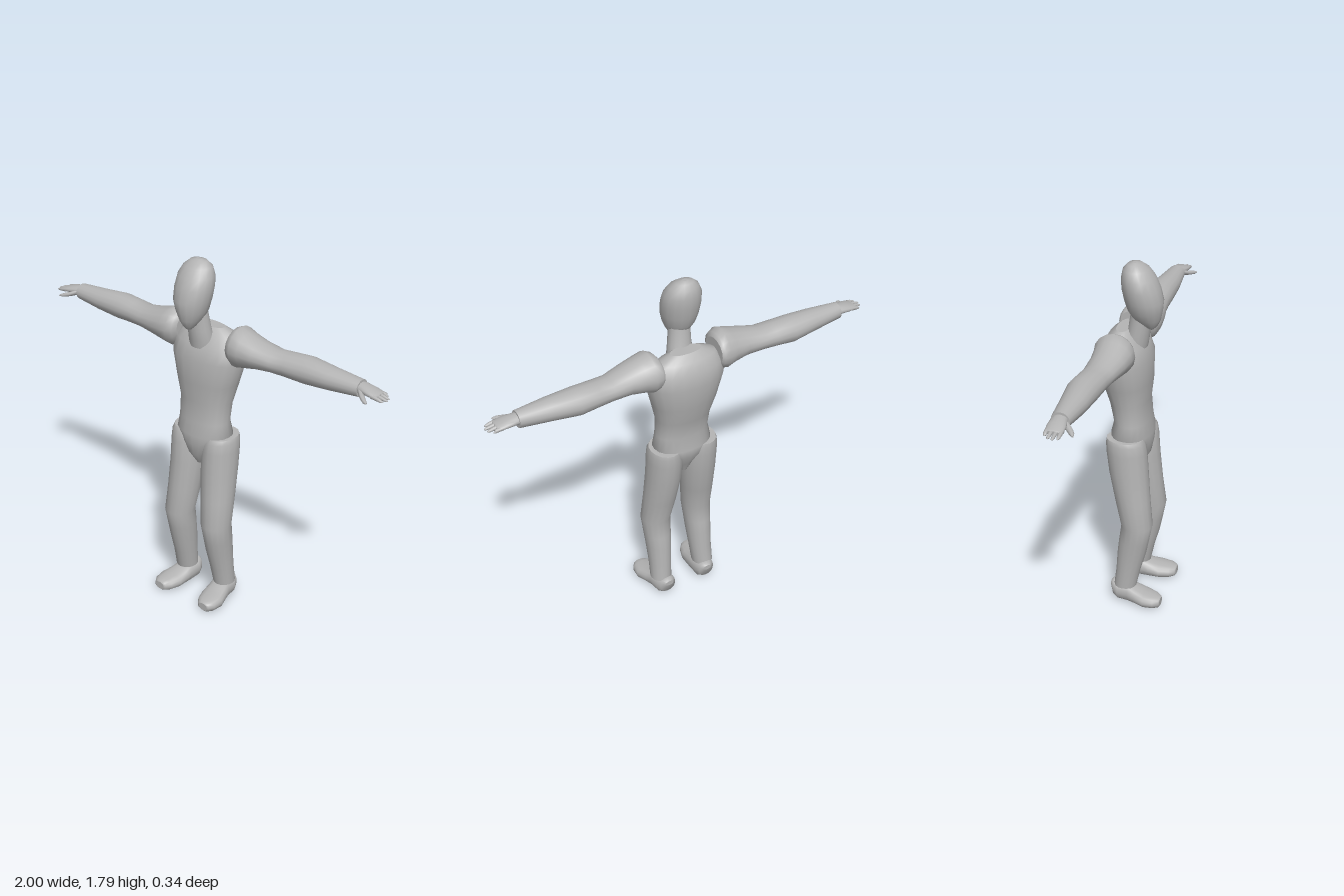
import * as THREE from 'three';

const body = new THREE.MeshStandardMaterial({ color: 0xb4b4b4 });
body.name = 'plain grey';

// Map (along, a, b) to x, y, z for each loft axis
const AXES = {
  x: (t, a, b) => [t, a, b],
  y: (t, a, b) => [b, t, a],
  z: (t, a, b) => [a, b, t],
};

// Skin through elliptical rings [along, centreA, centreB, radiusA, radiusB];
// the ends get flat caps with their own vertices, side -1 mirrors in x
function loft(name, axis, rings, side = 1, seg = 16, power = 1) {
  const pos = [], idx = [];
  const bend = v => Math.sign(v) * Math.abs(v) ** power;
  const put = (t, a, b) => {
    const [x, y, z] = AXES[axis](t, a, b);
    pos.push(x * side, y, z);
    return pos.length / 3 - 1;
  };
  const tri = (a, b, c) => (side > 0 ? idx.push(a, b, c) : idx.push(a, c, b));
  const ring = ([t, ca, cb, ra, rb]) => {
    const first = pos.length / 3;
    for (let i = 0; i < seg; i++) {
      const u = (i / seg) * Math.PI * 2;
      put(t, ca + ra * bend(Math.cos(u)), cb + rb * bend(Math.sin(u)));
    }
    return first;
  };
  const starts = rings.map(ring);
  for (let r = 0; r < rings.length - 1; r++) {
    for (let i = 0; i < seg; i++) {
      const j = (i + 1) % seg, p = starts[r], q = starts[r + 1];
      tri(p + i, p + j, q + j);
      tri(p + i, q + j, q + i);
    }
  }
  [rings[0], rings[rings.length - 1]].forEach((r, end) => {
    const s = ring(r), c = put(r[0], r[1], r[2]);
    for (let i = 0; i < seg; i++) {
      const j = (i + 1) % seg;
      if (end) tri(c, s + i, s + j);
      else tri(c, s + j, s + i);
    }
  });
  const geo = new THREE.BufferGeometry();
  geo.setAttribute('position', new THREE.Float32BufferAttribute(pos, 3));
  geo.setIndex(idx);
  geo.computeVertexNormals();
  const mesh = new THREE.Mesh(geo, body);
  mesh.name = name;
  return mesh;
}

function makeHand(side) {
  const hand = new THREE.Group();
  hand.name = 'hand';
  hand.add(loft('palm', 'x', [
    [0.83, 1.41, -0.058, 0.026, 0.032],
    [0.87, 1.41, -0.058, 0.023, 0.038],
    [0.91, 1.407, -0.054, 0.019, 0.043],
    [0.95, 1.402, -0.052, 0.012, 0.041],
    [0.955, 1.401, -0.052, 0.008, 0.037],
  ], side));
  // Four fingers, the middle ones longest
  [0.975, 0.995, 1.0, 0.99].forEach((tip, i) => {
    const z = -0.083 + i * 0.021;
    hand.add(loft('finger', 'x', [
      [0.93, 1.403, z, 0.01, 0.01],
      [0.965, 1.399, z, 0.009, 0.009],
      [tip - 0.008, 1.395, z, 0.006, 0.007],
      [tip, 1.394, z, 0.002, 0.003],
    ], side, 8));
  });
  hand.add(loft('thumb', 'x', [
    [0.86, 1.405, -0.035, 0.014, 0.018],
    [0.89, 1.395, -0.008, 0.012, 0.018],
    [0.915, 1.39, 0.012, 0.01, 0.014],
    [0.935, 1.387, 0.024, 0.004, 0.006],
  ], side, 8));
  return hand;
}

function makeLimbs(side) {
  const limbs = new THREE.Group();
  limbs.name = side > 0 ? 'leftLimbs' : 'rightLimbs';

  // Sleeve-like arm: x, centre y, centre z, half height, half depth
  limbs.add(loft('arm', 'x', [
    [0.152, 1.415, -0.06, 0.066, 0.075],
    [0.165, 1.413, -0.052, 0.085, 0.092],
    [0.195, 1.411, -0.046, 0.1, 0.1],
    [0.24, 1.409, -0.041, 0.085, 0.094],
    [0.31, 1.406, -0.041, 0.067, 0.085],
    [0.4, 1.399, -0.051, 0.054, 0.075],
    [0.47, 1.4, -0.057, 0.058, 0.073],
    [0.57, 1.4, -0.064, 0.064, 0.074],
    [0.7, 1.402, -0.058, 0.053, 0.062],
    [0.855, 1.405, -0.058, 0.04, 0.043],
  ], side));
  limbs.add(makeHand(side));

  // Leg: y, centre z, centre x, half depth, half width
  limbs.add(loft('leg', 'y', [
    [0.1, -0.022, 0.124, 0.057, 0.054],
    [0.2, -0.006, 0.12, 0.062, 0.058],
    [0.3, 0.011, 0.118, 0.073, 0.064],
    [0.37, 0.022, 0.118, 0.076, 0.069],
    [0.46, 0.037, 0.118, 0.078, 0.075],
    [0.6, 0.012, 0.107, 0.087, 0.082],
    [0.75, -0.01, 0.098, 0.097, 0.087],
    [0.86, -0.02, 0.098, 0.1, 0.086],
    [0.91, -0.025, 0.1, 0.097, 0.081],
    [0.93, -0.029, 0.1, 0.09, 0.073],
  ], side));

  // Foot: z, centre x, centre y, half width, half height
  limbs.add(loft('foot', 'z', [
    [-0.096, 0.115, 0.09, 0.022, 0.013],
    [-0.08, 0.116, 0.073, 0.043, 0.046],
    [-0.055, 0.117, 0.06, 0.052, 0.05],
    [0, 0.12, 0.06, 0.056, 0.05],
    [0.035, 0.126, 0.052, 0.06, 0.042],
    [0.09, 0.137, 0.044, 0.067, 0.036],
    [0.14, 0.143, 0.042, 0.055, 0.031],
    [0.165, 0.145, 0.041, 0.036, 0.025],
    [0.17, 0.146, 0.041, 0.026, 0.02],
  ], side, 16, 0.85));
  return limbs;
}

export function createModel() {
  const figure = new THREE.Group();
  figure.name = 'figure';

  // Torso: y, centre z, centre x, half depth, half width
  figure.add(loft('torso', 'y', [
    [0.762, -0.01, 0, 0.045, 0.018],
    [0.82, -0.005, 0, 0.075, 0.065],
    [0.88, -0.015, 0, 0.095, 0.115],
    [0.93, -0.018, 0, 0.1, 0.15],
    [1.0, -0.016, 0, 0.086, 0.137],
    [1.1, -0.03, 0, 0.092, 0.14],
    [1.2, -0.04, 0, 0.112, 0.165],
    [1.32, -0.048, 0, 0.119, 0.198],
    [1.39, -0.056, 0, 0.1, 0.19],
    [1.44, -0.06, 0, 0.068, 0.15],
    [1.47, -0.058, 0, 0.035, 0.08],
  ], 1, 20, 0.9));

  figure.add(loft('neck', 'y', [
    [1.38, -0.005, -0.004, 0.058, 0.064],
    [1.42, 0, -0.004, 0.06, 0.066],
    [1.47, 0.014, -0.008, 0.052, 0.058],
    [1.56, 0.025, -0.014, 0.048, 0.052],
  ]));

  // Head leans forward at the chin
  figure.add(loft('head', 'y', [
    [1.48, 0.076, -0.02, 0.012, 0.014],
    [1.5, 0.07, -0.02, 0.036, 0.034],
    [1.53, 0.055, -0.021, 0.066, 0.055],
    [1.57, 0.047, -0.023, 0.082, 0.076],
    [1.62, 0.042, -0.025, 0.092, 0.09],
    [1.68, 0.028, -0.025, 0.09, 0.097],
    [1.73, 0.016, -0.025, 0.08, 0.092],
    [1.77, 0.004, -0.025, 0.061, 0.073],
    [1.793, -0.002, -0.026, 0.034, 0.045],
    [1.8, -0.002, -0.027, 0.01, 0.014],
  ]));

  for (const side of [1, -1]) figure.add(makeLimbs(side));
  return figure;
}
